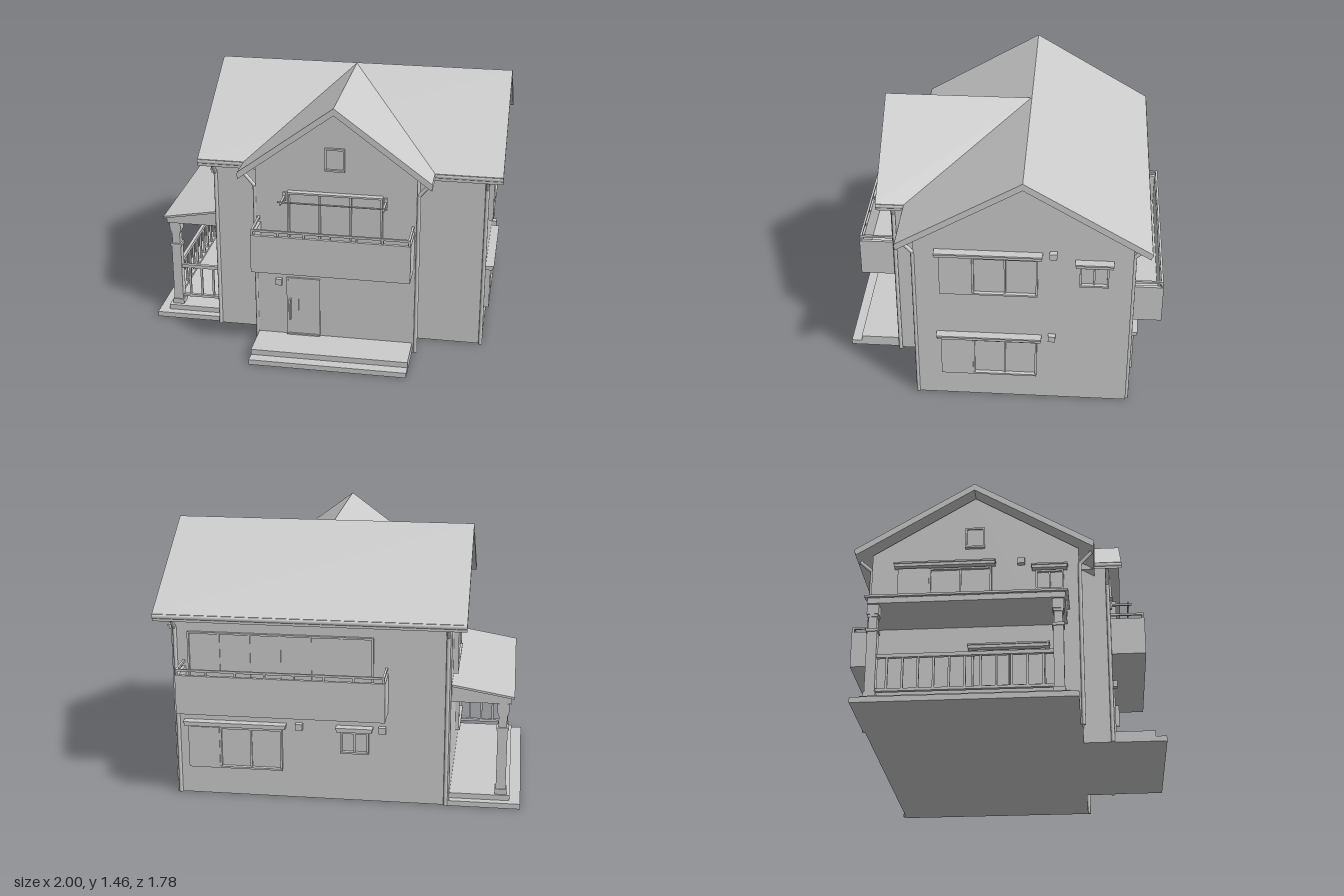
import * as THREE from 'three';

const mat = new THREE.MeshStandardMaterial({ color: 0xcccccc, side: THREE.DoubleSide });

function add(parent, name, geo) {
  const m = new THREE.Mesh(geo, mat);
  m.name = name;
  parent.add(m);
  return m;
}

// Box given by its limits on each axis
function box(parent, name, x0, x1, y0, y1, z0, z1) {
  const m = add(parent, name, new THREE.BoxGeometry(x1 - x0, y1 - y0, z1 - z0));
  m.position.set((x0 + x1) / 2, (y0 + y1) / 2, (z0 + z1) / 2);
  return m;
}

// Round bars following a list of points
function pipe(parent, name, points, r) {
  const p = points.map(a => new THREE.Vector3(...a));
  for (let i = 0; i + 1 < p.length; i++) {
    const d = p[i + 1].clone().sub(p[i]);
    const m = add(parent, name, new THREE.CylinderGeometry(r, r, d.length(), 8));
    m.position.copy(p[i]).addScaledVector(d, 0.5);
    m.quaternion.setFromUnitVectors(new THREE.Vector3(0, 1, 0), d.normalize());
  }
}

// Outline in the xy plane, extruded along z from z0 to z1
function prism(parent, name, points, z0, z1) {
  const shape = new THREE.Shape(points.map(p => new THREE.Vector2(...p)));
  const geo = new THREE.ExtrudeGeometry(shape, { depth: z1 - z0, bevelEnabled: false });
  geo.translate(0, 0, z0);
  return add(parent, name, geo);
}

// Gabled wall block and its chevron roof, ridge along local z
const gable = (c, half, eave, apex) =>
  [[c - half, 0], [c + half, 0], [c + half, eave], [c, apex], [c - half, eave]];
const chevron = (c, half, eave, apex, t) => [[c - half, eave], [c, apex], [c + half, eave],
  [c + half, eave - t], [c, apex - t], [c - half, eave - t]];

// Wall face: local x runs to the right seen from outside, local z points outwards
function face(parent, name, angle, x, z) {
  const g = new THREE.Group();
  g.name = name;
  g.rotation.y = angle;
  g.position.set(x, 0, z);
  parent.add(g);
  return g;
}

function framedWindow(g, name, u0, u1, y0, y1, panes, depth = 0.022) {
  const t = 0.01;
  box(g, name + 'Glass', u0, u1, y0, y1, -0.01, 0.006);
  box(g, name + 'Sill', u0, u1, y0, y0 + t, 0, depth + 0.006);
  box(g, name + 'Head', u0, u1, y1 - t, y1, 0, depth);
  for (let i = 0; i <= panes; i++) {
    const u = u0 + (u1 - u0 - t) * i / panes;
    box(g, name + 'Mullion', u, u + t, y0, y1, 0, i % panes ? depth * 0.7 : depth);
  }
}

function hood(g, u0, u1, y) {
  box(g, 'windowHood', u0, u1, y, y + 0.017, 0, 0.042);
  box(g, 'windowHoodCap', u0 - 0.004, u1 + 0.004, y + 0.017, y + 0.026, 0, 0.048);
}

// Sliding window with a shutter box on its left and a hood above
function shutterWindow(g, u, y) {
  box(g, 'shutterBox', u, u + 0.175, y, y + 0.24, 0, 0.028);
  framedWindow(g, 'window', u + 0.175, u + 0.525, y, y + 0.24, 2);
  hood(g, u - 0.02, u + 0.545, y + 0.248);
}

function smallWindow(g, u, y) {
  framedWindow(g, 'smallWindow', u, u + 0.155, y, y + 0.125, 2);
  hood(g, u - 0.02, u + 0.175, y + 0.13);
}

const vent = (g, u, y) => box(g, 'wallVent', u, u + 0.04, y, y + 0.035, 0, 0.03);

// Hollow balcony with a handrail on short posts
function balcony(g, u0, u1, depth, posts) {
  const t = 0.018, y0 = 0.53, y1 = 0.75, r = 0.012;
  box(g, 'balconyFloor', u0, u1, y0, 0.57, 0, depth);
  box(g, 'balconyFront', u0, u1, y0, y1, depth - t, depth);
  for (const u of [u0, u1 - t]) {
    box(g, 'balconySide', u, u + t, y0, y1, 0, depth);
    box(g, 'balconySideRail', u + 0.003, u + 0.003 + r, 0.772, 0.784, 0, depth - 0.003);
  }
  box(g, 'balconyRail', u0 + 0.003, u1 - 0.003, 0.772, 0.784, depth - 0.003 - r, depth - 0.003);
  for (let i = 0; i <= posts; i++) {
    const u = u0 + 0.004 + (u1 - u0 - 0.018) * i / posts;
    box(g, 'balconyPost', u, u + 0.01, y1, 0.775, depth - 0.014, depth - 0.004);
  }
}

function porch(house) {
  const g = new THREE.Group();
  g.name = 'sidePorch';
  house.add(g);
  box(g, 'porchStep', -1, -0.6, 0, 0.03, -0.73, 0.43);
  box(g, 'porchDeck', -0.94, -0.6, 0.03, 0.06, -0.69, 0.385);
  // lean-to roof: beam wedge and thin covering
  prism(g, 'porchRoofBeam', [[-0.935, 0.59], [-0.6, 0.59], [-0.6, 0.68], [-0.935, 0.622]], -0.675, 0.37);
  prism(g, 'porchRoof', [[-0.95, 0.622], [-0.6, 0.682], [-0.6, 0.694], [-0.95, 0.634]], -0.69, 0.385);
  // square columns built from stacked blocks: half width, bottom, top
  const blocks = [[0.033, 0.06, 0.09], [0.027, 0.09, 0.435], [0.033, 0.435, 0.452],
    [0.023, 0.452, 0.52], [0.028, 0.52, 0.535], [0.032, 0.535, 0.59]];
  for (const z of [-0.645, 0.33])
    for (const [h, y0, y1] of blocks) box(g, 'porchColumn', -0.89 - h, -0.89 + h, y0, y1, z - h, z + h);
  // railings along the outer side and the front end
  for (const [y0, y1] of [[0.1, 0.115], [0.29, 0.31]]) {
    box(g, 'porchRail', -0.9, -0.88, y0, y1, -0.645, 0.33);
    box(g, 'porchRail', -0.89, -0.61, y0, y1, 0.32, 0.34);
  }
  for (let i = 1; i < 12; i++) {
    const z = -0.645 + 0.975 * i / 12;
    box(g, 'porchBaluster', -0.896, -0.884, 0.11, 0.295, z - 0.006, z + 0.006);
  }
  for (let i = 1; i < 4; i++) {
    const x = -0.89 + 0.07 * i;
    box(g, 'porchBaluster', x - 0.006, x + 0.006, 0.11, 0.295, 0.324, 0.336);
  }
}

export function createModel() {
  const house = new THREE.Group();
  house.name = 'house';

  // Main block (ridge along x) and front wing (ridge along z)
  const main = new THREE.Group();
  main.name = 'mainBlock';
  main.rotation.y = Math.PI / 2;
  house.add(main);
  prism(main, 'mainWalls', gable(0.14, 0.58, 1.06, 1.41), -0.61, 0.92);
  prism(main, 'mainRoof', chevron(0.14, 0.665, 1.064, 1.46, 0.04), -0.69, 1);
  prism(house, 'wingWalls', gable(0.103, 0.445, 1.075, 1.41), 0, 0.61);
  prism(house, 'wingRoof', chevron(0.103, 0.53, 1.064, 1.458, 0.04), -0.14, 0.68);

  // Front wing face
  const front = face(house, 'frontFace', 0, 0, 0.61);
  framedWindow(front, 'atticWindow', 0.045, 0.155, 1.08, 1.21, 1, 0.015);
  framedWindow(front, 'balconyDoor', -0.16, 0.365, 0.57, 0.95, 3, 0.035);
  balcony(front, -0.335, 0.54, 0.19, 6);
  pipe(front, 'dryingPole', [[-0.2, 0.92, 0.105], [0.4, 0.92, 0.105]], 0.005);
  for (const u of [-0.18, 0.38]) {
    box(front, 'poleArm', u - 0.006, u + 0.006, 0.91, 0.92, 0, 0.125);
    box(front, 'poleBracket', u - 0.008, u + 0.008, 0.89, 0.94, 0, 0.012);
  }
  framedWindow(front, 'entranceDoor', -0.175, 0.015, 0.06, 0.42, 1, 0.01);
  box(front, 'doorLeafEdge', -0.115, -0.107, 0.06, 0.41, 0, 0.01);
  box(front, 'doorHandle', -0.16, -0.15, 0.165, 0.29, 0, 0.03);
  box(front, 'entranceLamp', -0.235, -0.2, 0.375, 0.412, 0, 0.025);
  box(front, 'lowerStep', -0.34, 0.54, 0, 0.03, -0.01, 0.28);
  box(front, 'upperStep', -0.34, 0.54, 0.03, 0.062, -0.01, 0.22);

  // Right face
  const right = face(house, 'rightFace', Math.PI / 2, 0.92, 0);
  for (const y of [0.715, 0.165]) {
    shutterWindow(right, -0.305, y);
    vent(right, 0.28, y + 0.25);
  }
  smallWindow(right, 0.44, 0.795);

  // Left face
  const left = face(house, 'leftFace', -Math.PI / 2, -0.61, 0);
  shutterWindow(left, -0.57, 0.715);
  vent(left, 0.1, 0.965);
  smallWindow(left, 0.2, 0.795);
  framedWindow(left, 'atticWindow', -0.195, -0.085, 1.08, 1.21, 1, 0.015);
  framedWindow(left, 'porchWindow', -0.15, 0.25, 0.22, 0.44, 2);
  hood(left, -0.17, 0.27, 0.445);

  // Back face
  const back = face(house, 'backFace', Math.PI, 0, -0.72);
  framedWindow(back, 'balconyDoor', -0.83, 0.19, 0.57, 0.95, 6, 0.018);
  balcony(back, -0.865, 0.27, 0.17, 7);
  shutterWindow(back, -0.84, 0.165);
  vent(back, -0.24, 0.41);
  smallWindow(back, 0.01, 0.285);
  vent(back, 0.22, 0.41);

  porch(house);

  // Gutters under the eaves
  const gy = 1.05, gr = 0.014;
  pipe(house, 'backGutter', [[-0.69, gy, -0.8], [1, gy, -0.8]], gr);
  pipe(house, 'frontGutter', [[-0.69, gy, 0.515], [-0.41, gy, 0.515]], gr);
  pipe(house, 'frontGutter', [[0.615, gy, 0.515], [1, gy, 0.515]], gr);
  for (const x of [-0.418, 0.624]) pipe(house, 'wingGutter', [[x, gy, 0.5], [x, gy, 0.68]], gr);

  // Downpipes
  for (const x of [-0.61, 0.915]) {
    pipe(house, 'frontDownpipe', [[x, gy, 0.51], [x, 1.03, 0.51], [x, 0.96, 0.445], [x, 0, 0.445]], 0.011);
    const bx = x < 0 ? -0.59 : 0.9;
    pipe(house, 'backDownpipe', [[bx, gy, -0.795], [bx, 1.03, -0.79], [bx, 0.97, -0.725], [bx, 0, -0.725]], 0.011);
  }
  for (const [x, w] of [[-0.41, -0.35], [0.617, 0.557]])
    pipe(house, 'wingDownpipe', [[x, gy, 0.597], [x, 1.03, 0.597], [w, 0.96, 0.597], [w, 0, 0.597]], 0.011);

  return house;
}
